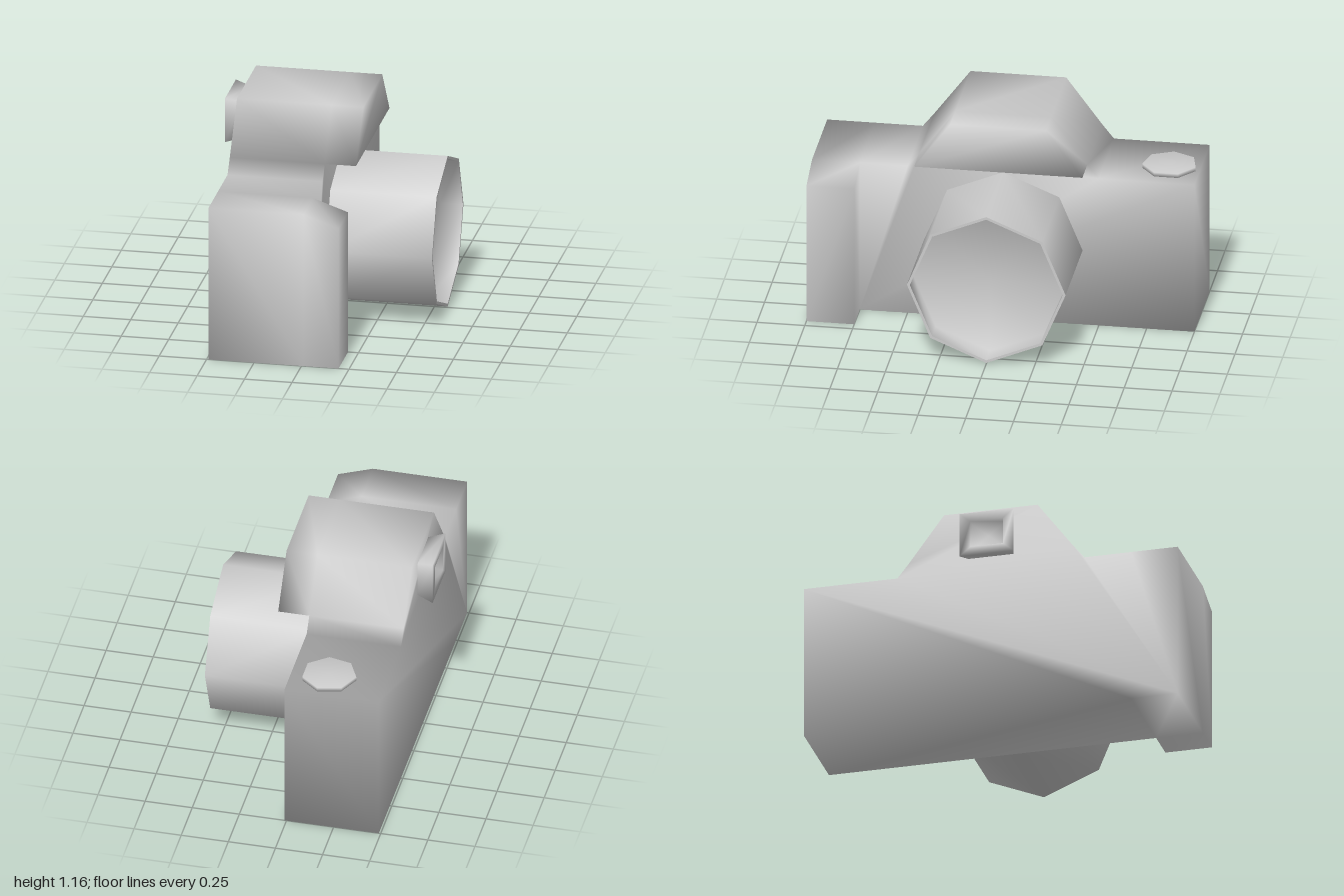
import * as THREE from 'three';
import { mergeVertices } from 'three/addons/utils/BufferGeometryUtils.js';

const material = new THREE.MeshStandardMaterial({ color: 0xcccccc, side: THREE.DoubleSide });

// Weld shared corners so that normals run smoothly over the whole part
function smooth(geometry) {
  geometry.deleteAttribute('normal');
  geometry.deleteAttribute('uv');
  const welded = mergeVertices(geometry, 1e-4);
  welded.computeVertexNormals();
  return welded;
}

function part(name, geometry, x = 0, y = 0, z = 0) {
  const mesh = new THREE.Mesh(geometry, material);
  mesh.name = name;
  mesh.position.set(x, y, z);
  return mesh;
}

// Outlines are [u, y] with u = -z, counter-clockwise when seen from the lens side
function bodyGeometry() {
  const positions = [];
  const corner = (x, [u, y]) => positions.push(x, y, -u);
  const loft = (back, x0, front, x1) => back.forEach((p, i) => {
    const j = (i + 1) % back.length;
    corner(x0, p); corner(x0, back[j]); corner(x1, front[j]);
    corner(x0, p); corner(x1, front[j]); corner(x1, front[i]);
  });
  const cap = (loop, x, flip) => {
    const points = loop.map(([u, y]) => new THREE.Vector2(u, y));
    for (const face of THREE.ShapeUtils.triangulateShape(points, [])) {
      for (const i of flip ? [...face].reverse() : face) corner(x, loop[i]);
    }
  };

  const back = -0.49, front = 0.01, top = 0.835;
  const hood = [[-0.44, 0.91], [0.44, 0.91], [0.25, 1.165], [-0.25, 1.165]];
  const grip = [[-1, 0], [-0.75, 0], [-0.75, top], [-1, top]];
  const gripFront = [[-1, 0], [-0.75, 0], [-0.75, 0.77], [-1, 0.77]];
  const right = [[1, 0], [1, top], [0.5, top], hood[1]];
  const left = [hood[0], [-0.5, top], [-0.75, top]];
  const outline = [grip[0], grip[1], ...right, hood[2], hood[3], ...left, grip[3]];

  // Main block with the raised viewfinder housing
  loft(outline, back, outline, front);
  cap(outline, back, true);
  cap([grip[1], ...right, ...left], front);
  // Hand grip with sloping top
  loft(grip, front, gripFront, 0.195);
  cap(gripFront, 0.195);
  // Hood overhanging the lens
  loft(hood, front, hood, 0.175);
  cap(hood, 0.175);

  const geometry = new THREE.BufferGeometry();
  geometry.setAttribute('position', new THREE.Float32BufferAttribute(positions, 3));
  return smooth(geometry);
}

function lathe(points, sides, start = 0) {
  const profile = points.map(([r, h]) => new THREE.Vector2(r, h));
  return new THREE.LatheGeometry(profile, sides, start);
}

export function createModel() {
  const model = new THREE.Group();
  model.name = 'camera';
  model.add(part('body', bodyGeometry()));

  // Eight-sided lens: barrel, thin rim and recessed glass
  const lens = new THREE.Group();
  lens.name = 'lens';
  lens.position.set(0.01, 0.42, 0);
  const pieces = {
    lensBarrel: [[0.415, 0], [0.415, 0.56]],
    lensRim: [[0.415, 0.56], [0.4, 0.56]],
    lensGlass: [[0.4, 0.56], [0.4, 0.44], [0, 0.44]],
  };
  for (const [name, points] of Object.entries(pieces)) {
    lens.add(part(name, smooth(lathe(points, 8).rotateZ(-Math.PI / 2))));
  }
  model.add(lens);

  // Flared square eyepiece on the back, with a sunken window
  const eyepiece = lathe([[0.83, 0], [1, 0.085], [0.6, 0.085], [0.6, 0.04], [0, 0.04]], 4, Math.PI / 4);
  eyepiece.rotateZ(Math.PI / 2).scale(1, 0.12 * Math.SQRT2, 0.145 * Math.SQRT2);
  model.add(part('eyepiece', smooth(eyepiece), -0.49, 1, 0));

  // Seven-sided shutter button
  const button = new THREE.CylinderGeometry(0.143, 0.143, 0.025, 7, 1, false, -Math.PI / 2);
  model.add(part('shutterButton', smooth(button), -0.19, 0.845, -0.84));

  return model;
}
